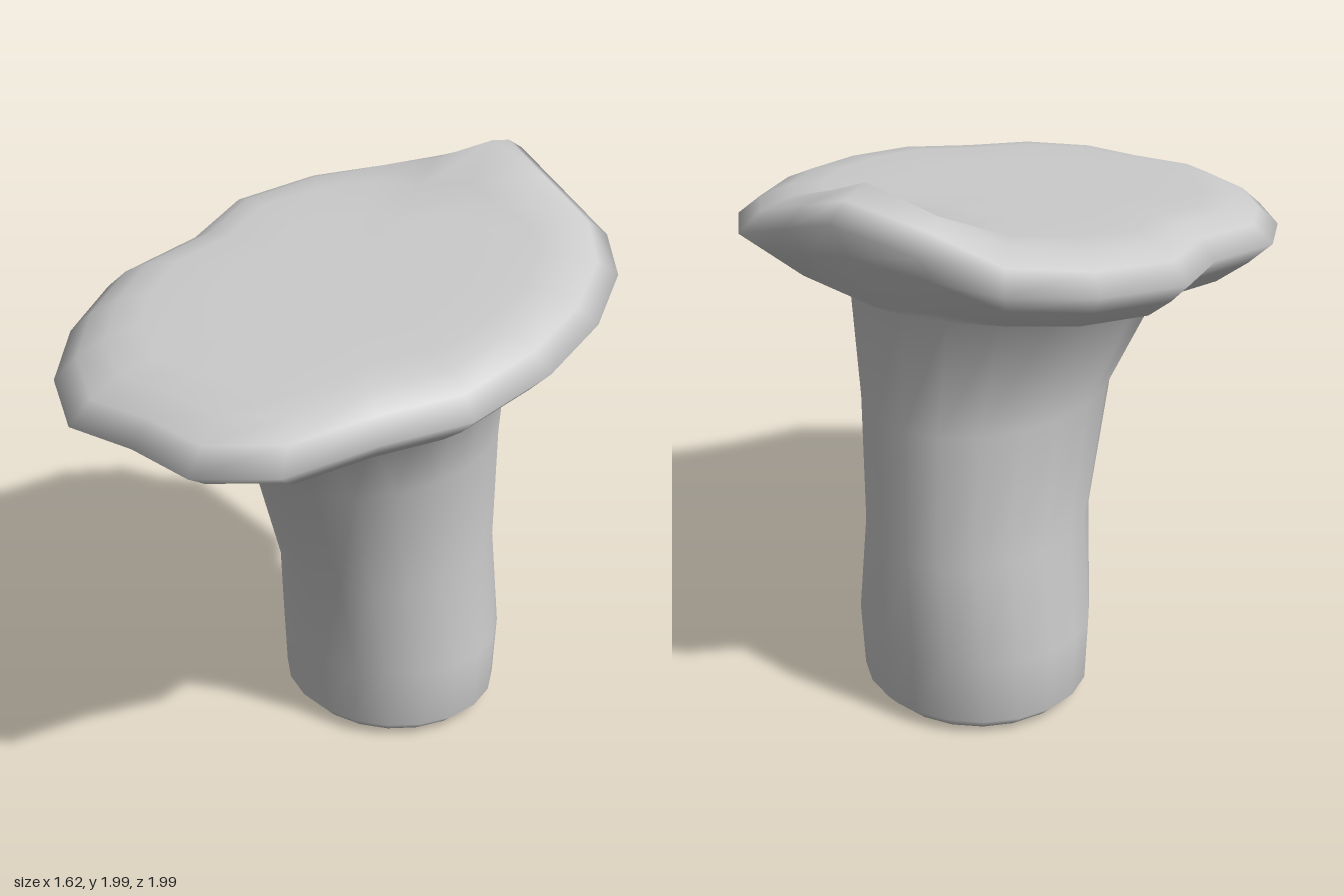
import * as THREE from 'three';

// Cap outline seen from above, clockwise from the back (x, z)
const OUTLINE = [
  [0, -1], [0.22, -0.93], [0.47, -0.85], [0.65, -0.64], [0.77, -0.34],
  [0.81, -0.02], [0.77, 0.31], [0.61, 0.56], [0.48, 0.84], [0.25, 0.99],
  [0, 0.97], [-0.25, 0.99], [-0.49, 0.83], [-0.67, 0.59], [-0.78, 0.31],
  [-0.74, -0.02], [-0.81, -0.34], [-0.69, -0.65], [-0.49, -0.85], [-0.24, -0.9],
];
const N = OUTLINE.length;
const TILT = 0.128; // the cap rises towards the back

// Stem cross-sections: height, centre x, centre z, radius x, radius z, tilt
const STEM = [
  [0, 0, -0.28, 0.34, 0.32, 0],
  [0.015, 0, -0.28, 0.36, 0.335, 0],
  [0.055, 0, -0.28, 0.4, 0.37, 0],
  [0.29, 0, -0.28, 0.41, 0.38, 0],
  [0.65, 0, -0.255, 0.36, 0.425, 0],
  [1.11, 0.02, -0.16, 0.39, 0.49, 0],
  [1.45, 0, -0.045, 0.48, 0.625, 0.12],
];

// Cap rings: outline scale, height at z = 0, strength of the back lip
const CAP = [
  [0.79, 1.488, 0],
  [0.91, 1.565, 0.7],
  [1, 1.638, 1],
  [0.92, 1.697, 1],
  [0.82, 1.735, 1],
  [0.7, 1.747, 0.3],
  [0.45, 1.748, 0],
  [0.2, 1.748, 0],
];

// Upturned lip at the back of the cap
function lip(x, z) {
  const back = THREE.MathUtils.smoothstep(-z, 0.55, 0.82);
  return 0.15 * back * Math.max(0, 1 - Math.abs(x) / 0.48);
}

function stemRing([y, cx, cz, rx, rz, tilt]) {
  return OUTLINE.map((_, i) => {
    const a = (i / N) * Math.PI * 2;
    const dz = -Math.cos(a) * rz;
    return [cx + Math.sin(a) * rx, y - tilt * dz, cz + dz];
  });
}

function capRing([scale, y, lift]) {
  return OUTLINE.map(([ox, oz]) => {
    const x = ox * scale, z = oz * scale;
    return [x, y - TILT * z + lift * lip(x, z), z];
  });
}

export function createModel() {
  const rings = [...STEM.map(stemRing), ...CAP.map(capRing)];
  const points = rings.flat();
  const bottom = points.push([0, 0, -0.28]) - 1;
  const top = points.push([0, 1.748, 0]) - 1;
  const stemFaces = [], capFaces = [];

  // Skin between neighbouring rings, then close both ends
  for (let i = 0; i < N; i++) {
    const j = (i + 1) % N;
    for (let r = 0; r < rings.length - 1; r++) {
      const a = r * N + i, b = r * N + j;
      const faces = r < STEM.length - 1 ? stemFaces : capFaces;
      faces.push(a, a + N, b, b, a + N, b + N);
    }
    const last = (rings.length - 1) * N;
    stemFaces.push(bottom, i, j);
    capFaces.push(top, last + j, last + i);
  }

  // Shared smooth normals so the stem flows into the cap
  const whole = new THREE.BufferGeometry();
  whole.setAttribute('position', new THREE.Float32BufferAttribute(points.flat(), 3));
  whole.setIndex([...stemFaces, ...capFaces]);
  whole.computeVertexNormals();

  const material = new THREE.MeshStandardMaterial({ color: 0xcccccc });
  const group = new THREE.Group();
  group.name = 'mushroom';
  for (const [name, faces] of [['stem', stemFaces], ['cap', capFaces]]) {
    const geometry = whole.clone();
    geometry.setIndex(faces);
    const mesh = new THREE.Mesh(geometry, material);
    mesh.name = name;
    group.add(mesh);
  }
  return group;
}
